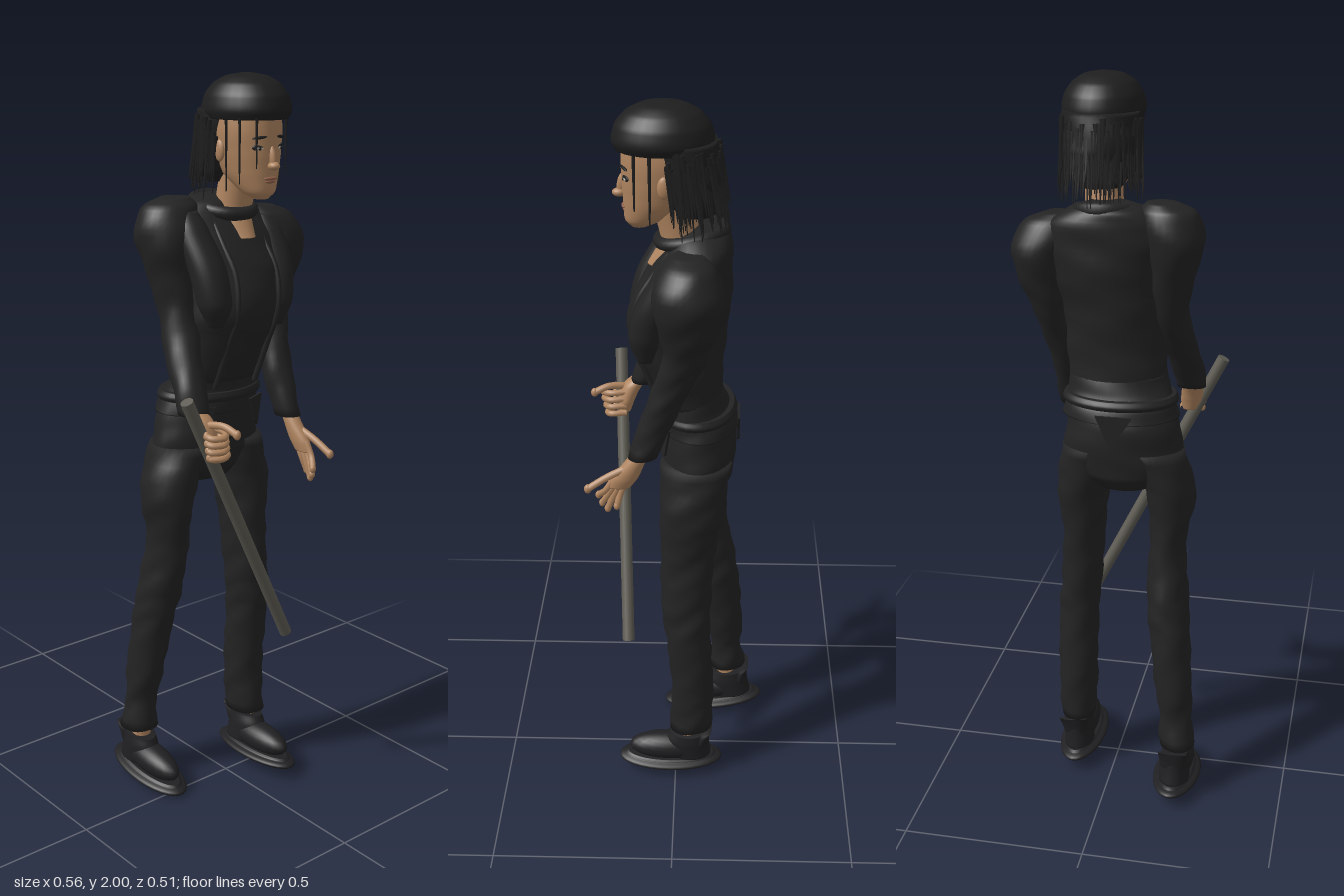
import * as THREE from 'three';

const mat = (name, color, side = THREE.FrontSide) => {
  const m = new THREE.MeshStandardMaterial({ color, side });
  m.name = name;
  return m;
};
const V = (p) => new THREE.Vector3(...p);

// Smooth body lofted through elliptical rings [y, cx, cz, rx, rz]; wr adds cloth folds
function loftGeometry(sections, wr = 0, rows = 32, seg = 30) {
  const s = [...sections].sort((a, b) => a[0] - b[0]);
  const centre = new THREE.CatmullRomCurve3(s.map((p) => V([p[1], p[0], p[2]])));
  const radius = new THREE.CatmullRomCurve3(s.map((p) => V([p[3], 0, p[4]])));
  const pos = [], idx = [];
  for (let i = 0; i <= rows; i++) {
    const c = centre.getPoint(i / rows), r = radius.getPoint(i / rows);
    for (let j = 0; j < seg; j++) {
      const a = (j / seg) * Math.PI * 2;
      const w = wr * (Math.sin(c.y * 75 + 2.2 * Math.sin(a * 2)) + 0.6 * Math.sin(c.y * 41 + a * 3));
      pos.push(c.x + (r.x + w) * Math.cos(a), c.y, c.z + (r.z + w) * Math.sin(a));
      const k = (j + 1) % seg, p = i * seg;
      if (i < rows) idx.push(p + j, p + seg + j, p + k, p + k, p + seg + j, p + seg + k);
    }
  }
  const top = pos.length / 3, a = s[0], b = s[s.length - 1], last = rows * seg;
  pos.push(b[1], b[0], b[2], a[1], a[0], a[2]);
  for (let j = 0; j < seg; j++) {
    const k = (j + 1) % seg;
    idx.push(top, last + k, last + j, top + 1, j, k);
  }
  const g = new THREE.BufferGeometry();
  g.setAttribute('position', new THREE.Float32BufferAttribute(pos, 3));
  g.setIndex(idx);
  g.computeVertexNormals();
  return g;
}

export function createModel() {
  const root = new THREE.Group();
  root.name = 'standingFigure';
  const cloth = mat('blackCloth', 0x232323, THREE.DoubleSide);
  const hair = mat('blackHair', 0x1e1e1e, THREE.DoubleSide);
  const leather = mat('shoeLeather', 0x202022);
  const skin = mat('skin', 0xb08560);
  const lip = mat('lips', 0x8f5f4a);
  const white = mat('eyeWhite', 0xc8c0b4);
  const metal = mat('rodMetal', 0x5e5c53);

  const add = (name, geo, m, parent = root) => {
    const mesh = new THREE.Mesh(geo, m);
    mesh.name = name;
    parent.add(mesh);
    return mesh;
  };
  const loft = (name, m, sections, wr, parent) => add(name, loftGeometry(sections, wr), m, parent);
  const blob = (name, m, p, s, parent) => {
    const b = add(name, new THREE.SphereGeometry(1, 20, 14), m, parent);
    b.position.set(...p);
    b.scale.set(...s);
    return b;
  };
  const tube = (name, m, pts, r, parent) =>
    add(name, new THREE.TubeGeometry(new THREE.CatmullRomCurve3(pts.map(V)), 24, r, 8), m, parent);
  // Straight tapered rod between two points
  const spike = (name, m, a, b, ra, rb, sides = 4) => {
    const A = V(a), B = V(b), d = B.clone().sub(A);
    const mesh = add(name, new THREE.CylinderGeometry(rb, ra, d.length(), sides), m);
    mesh.position.copy(A).add(B).multiplyScalar(0.5);
    mesh.quaternion.setFromUnitVectors(V([0, 1, 0]), d.normalize());
  };

  // Trousers
  loft('trouserHips', cloth, [[0.92, -0.03, -0.07, 0.08, 0.06], [0.96, -0.03, -0.065, 0.14, 0.09],
    [1.02, -0.025, -0.06, 0.165, 0.102], [1.1, -0.025, -0.058, 0.152, 0.105], [1.18, -0.015, -0.045, 0.135, 0.085]], 0.001);
  loft('rightTrouserLeg', cloth, [[1.03, -0.11, -0.065, 0.08, 0.09], [0.9, -0.158, -0.06, 0.068, 0.088],
    [0.75, -0.153, -0.07, 0.05, 0.072], [0.6, -0.16, -0.1, 0.058, 0.07], [0.5, -0.17, -0.12, 0.056, 0.064],
    [0.3, -0.19, -0.145, 0.051, 0.055], [0.16, -0.202, -0.155, 0.051, 0.055]], 0.0022);
  loft('leftTrouserLeg', cloth, [[1.03, 0.06, -0.055, 0.08, 0.095], [0.9, 0.088, -0.045, 0.073, 0.088],
    [0.75, 0.09, -0.035, 0.058, 0.075], [0.6, 0.1, -0.03, 0.057, 0.07], [0.5, 0.107, -0.035, 0.056, 0.064],
    [0.3, 0.108, -0.05, 0.055, 0.06], [0.16, 0.11, -0.045, 0.05, 0.062]], 0.0022);

  // Jacket body, hem and belt
  loft('jacketBody', cloth, [[1.2, -0.01, -0.04, 0.132, 0.085], [1.3, 0, -0.017, 0.135, 0.108],
    [1.4, 0.005, -0.002, 0.145, 0.132], [1.5, 0.02, -0.018, 0.16, 0.127], [1.58, 0.02, -0.04, 0.175, 0.105],
    [1.64, 0.015, -0.06, 0.15, 0.085], [1.675, 0.01, -0.065, 0.1, 0.07], [1.69, 0.01, -0.065, 0.05, 0.04]], 0.0015);
  loft('jacketHem', cloth, [[1.12, -0.02, -0.06, 0.158, 0.11], [1.15, -0.018, -0.055, 0.15, 0.106],
    [1.19, -0.012, -0.045, 0.138, 0.092], [1.23, -0.008, -0.038, 0.13, 0.085]], 0.0015);
  loft('belt', cloth, [[1.155, -0.017, -0.052, 0.153, 0.109], [1.165, -0.017, -0.052, 0.157, 0.113],
    [1.18, -0.017, -0.05, 0.15, 0.107]]);
  loft('rightFrontPanel', cloth, [[1.37, -0.1, 0.08, 0.02, 0.02], [1.43, -0.105, 0.08, 0.045, 0.047],
    [1.52, -0.11, 0.055, 0.05, 0.05], [1.62, -0.12, 0, 0.045, 0.045], [1.66, -0.12, -0.02, 0.03, 0.03]]);
  loft('leftFrontPanel', cloth, [[1.35, 0.11, 0.075, 0.02, 0.02], [1.42, 0.115, 0.07, 0.045, 0.047],
    [1.5, 0.125, 0.05, 0.05, 0.05], [1.6, 0.135, 0, 0.045, 0.045], [1.64, 0.135, -0.02, 0.03, 0.03]]);
  for (const [name, x] of [['rightLapelEdge', -0.055], ['leftLapelEdge', 0.085]])
    tube(name, cloth, [[x, 1.63, 0.012], [x, 1.57, 0.055], [x + 0.006, 1.5, 0.096], [x, 1.4, 0.112],
      [x - 0.005, 1.3, 0.075], [x - 0.012, 1.19, 0.033]], 0.008);
  // Pointed jacket tails
  const tail = (name, x, z, w, h, tilt) => {
    const s = new THREE.Shape();
    s.moveTo(-w, 0); s.lineTo(w, 0); s.lineTo(w * 0.3, -h); s.lineTo(-w * 0.2, -h * 0.8);
    const t = add(name, new THREE.ExtrudeGeometry(s, { depth: 0.006, bevelEnabled: false }), cloth);
    t.position.set(x, 1.145, z);
    t.rotation.y = tilt;
  };
  tail('rightFrontTail', -0.115, 0.032, 0.04, 0.085, -0.45);
  tail('leftFrontTail', 0.075, 0.03, 0.04, 0.085, 0.45);
  tail('backTail', -0.02, -0.172, 0.05, 0.08, 0);

  // Puffed sleeves
  loft('rightSleeve', cloth, [[1.692, -0.125, -0.06, 0.04, 0.035], [1.67, -0.14, -0.06, 0.074, 0.065],
    [1.6, -0.156, -0.057, 0.08, 0.085], [1.5, -0.15, -0.045, 0.06, 0.072], [1.4, -0.143, -0.025, 0.05, 0.058],
    [1.3, -0.163, 0.018, 0.046, 0.052], [1.22, -0.178, 0.065, 0.044, 0.047], [1.155, -0.187, 0.095, 0.041, 0.038]], 0.0015);
  loft('leftSleeve', cloth, [[1.652, 0.145, -0.035, 0.04, 0.035], [1.63, 0.165, -0.035, 0.075, 0.065],
    [1.56, 0.195, -0.035, 0.082, 0.092], [1.47, 0.19, -0.035, 0.068, 0.075], [1.4, 0.178, -0.03, 0.05, 0.058],
    [1.3, 0.157, 0.005, 0.046, 0.05], [1.2, 0.148, 0.045, 0.04, 0.045], [1.09, 0.15, 0.085, 0.032, 0.038]], 0.0015);

  // Neck, open collar
  loft('neck', skin, [[1.6, 0.03, -0.02, 0.06, 0.05], [1.67, 0.035, -0.01, 0.05, 0.05], [1.78, 0.04, 0.015, 0.05, 0.055]]);
  loft('bareChest', skin, [[1.585, 0.025, -0.02, 0.052, 0.092], [1.62, 0.025, -0.025, 0.058, 0.077], [1.66, 0.025, -0.03, 0.05, 0.06]]);
  const collar = add('collar', new THREE.TorusGeometry(0.075, 0.016, 10, 36), cloth);
  collar.position.set(0.022, 1.662, -0.04);
  collar.rotation.x = Math.PI / 2 + 0.2;
  collar.scale.set(1, 1.1, 1.1);

  // Head and face
  loft('face', skin, [[1.688, 0.04, 0.09, 0.018, 0.02], [1.705, 0.04, 0.08, 0.042, 0.046], [1.75, 0.04, 0.05, 0.066, 0.08],
    [1.8, 0.04, 0.035, 0.079, 0.098], [1.86, 0.04, 0.03, 0.086, 0.104], [1.92, 0.04, 0.03, 0.08, 0.1], [1.96, 0.04, 0.03, 0.05, 0.06]]);
  blob('noseBridge', skin, [0.041, 1.797, 0.131], [0.009, 0.03, 0.013]).rotation.x = -0.2;
  blob('noseTip', skin, [0.041, 1.774, 0.139], [0.015, 0.011, 0.018]);
  blob('upperLip', lip, [0.041, 1.742, 0.127], [0.022, 0.005, 0.007]);
  blob('lowerLip', lip, [0.041, 1.734, 0.124], [0.018, 0.005, 0.007]);
  for (const s of [-1, 1]) {
    const side = s < 0 ? 'right' : 'left', x = 0.041 + s * 0.035;
    blob(side + 'EyeLiner', hair, [x, 1.82, 0.12], [0.018, 0.008, 0.005]).rotation.y = s * 0.4;
    blob(side + 'EyeWhite', white, [x, 1.818, 0.122], [0.012, 0.0045, 0.005]).rotation.y = s * 0.4;
    blob(side + 'Iris', hair, [x, 1.818, 0.125], [0.005, 0.0045, 0.004]);
    blob(side + 'Eyebrow', hair, [x, 1.845, 0.124], [0.02, 0.004, 0.005]).rotation.set(0, s * 0.4, -s * 0.1);
    blob(side + 'Ear', skin, [0.041 + s * 0.083, 1.81, 0.025], [0.01, 0.028, 0.017]);
  }

  // Hair: smooth cap, back mass and loose strands
  loft('hairCap', hair, [[1.888, 0.042, 0.03, 0.1, 0.12], [1.91, 0.043, 0.03, 0.108, 0.127], [1.945, 0.043, 0.03, 0.101, 0.118],
    [1.975, 0.043, 0.03, 0.08, 0.092], [1.993, 0.043, 0.03, 0.05, 0.055], [2.0, 0.043, 0.03, 0.012, 0.012]]);
  loft('backHair', hair, [[1.725, 0.04, -0.05, 0.06, 0.05], [1.76, 0.04, -0.042, 0.085, 0.07],
    [1.82, 0.04, -0.035, 0.1, 0.085], [1.91, 0.042, -0.015, 0.1, 0.088]], 0.001);
  let seed = 7;
  const rnd = () => (seed = (seed * 16807) % 2147483647) / 2147483647;
  for (let i = 0; i < 90; i++) {
    const a = Math.PI * (0.88 + 1.24 * (i / 89)), out = 0.98 + rnd() * 0.16;
    const c = Math.cos(a), s = Math.sin(a);
    spike('hairStrand', hair, [0.042 + c * 0.1, 1.9 - rnd() * 0.06, -0.015 + s * 0.092],
      [0.042 + c * 0.1 * out, 1.68 + rnd() * 0.07, -0.03 + s * 0.095 * out], 0.008, 0.001);
  }
  for (const [x, z, y] of [[-0.01, 0.131, 1.77], [-0.038, 0.098, 1.73], [0.118, 0.098, 1.75], [-0.05, 0.06, 1.71], [0.13, 0.06, 1.71]])
    spike('frontStrand', hair, [x, 1.9, z], [x, y, z], 0.005, 0.002);

  // Hands
  const finger = (name, pts, r = 0.0088) => {
    tube(name, skin, pts, r);
    blob(name + 'Tip', skin, pts[pts.length - 1], [r, r * 1.3, r]);
  };
  loft('leftPalm', skin, [[1.1, 0.15, 0.09, 0.02, 0.024], [1.07, 0.151, 0.108, 0.022, 0.028],
    [1.03, 0.152, 0.132, 0.02, 0.035], [1.0, 0.152, 0.148, 0.014, 0.03]]);
  [[0.135, 0.965, 0.205], [0.142, 0.945, 0.195], [0.15, 0.932, 0.18], [0.16, 0.945, 0.155]].forEach(([x, y, z], i) =>
    finger('leftFinger', [[0.151, 1.03, 0.16 - i * 0.014], [0.15, 0.99, 0.183 - i * 0.014], [x, y, z]]));
  finger('leftThumb', [[0.155, 1.06, 0.125], [0.165, 1.035, 0.18], [0.174, 1.005, 0.23]], 0.01);
  loft('rightPalm', skin, [[1.17, -0.187, 0.1, 0.022, 0.022], [1.14, -0.185, 0.128, 0.03, 0.027],
    [1.1, -0.18, 0.145, 0.03, 0.024], [1.065, -0.175, 0.15, 0.02, 0.016]]);
  for (let i = 0; i < 4; i++) {
    const y = 1.125 - i * 0.02, x = -0.165 + i * 0.003;
    finger('rightFinger', [[x, y, 0.145], [x + 0.003, y - 0.003, 0.19], [x - 0.022, y - 0.008, 0.215 - i * 0.005],
      [x - 0.048, y - 0.008, 0.2 - i * 0.005], [x - 0.05, y - 0.005, 0.18]]);
  }
  finger('rightThumb', [[-0.185, 1.135, 0.14], [-0.17, 1.14, 0.195], [-0.16, 1.125, 0.235]], 0.01);

  // Held rod
  spike('rod', metal, [0.108, 0.465, 0.135], [-0.265, 1.215, 0.164], 0.017, 0.017, 20);

  // Shoes: flat sole, rounded upper, ankle collar with heel tab
  const shoe = (name, p, tilt, roll) => {
    const g = new THREE.Group();
    g.name = name;
    g.position.set(...p);
    g.rotation.set(tilt, 0, roll);
    root.add(g);
    loft('sole', leather, [[0, 0, 0, 0.043, 0.126], [0.004, 0, 0, 0.051, 0.135], [0.024, 0, 0, 0.051, 0.135], [0.03, 0, 0, 0.044, 0.127]], 0, g);
    blob('upper', leather, [0, 0.055, 0.005], [0.045, 0.042, 0.118], g);
    loft('ankleCollar', leather, [[0.03, 0, -0.06, 0.043, 0.06], [0.08, 0, -0.05, 0.043, 0.065], [0.115, 0, -0.055, 0.038, 0.055]], 0, g);
    loft('heelTab', leather, [[0.08, 0, -0.09, 0.036, 0.022], [0.11, 0, -0.1, 0.04, 0.018], [0.132, 0, -0.115, 0.042, 0.008]], 0, g);
    const ankle = add('ankle', new THREE.CylinderGeometry(0.026, 0.028, 0.12, 16), skin, g);
    ankle.position.set(0, 0.14, -0.05);
  };
  shoe('rightShoe', [-0.197, 0.016, -0.112], 0.1, 0);
  shoe('leftShoe', [0.106, 0.03, 0.015], 0, -0.08);

  return root;
}
